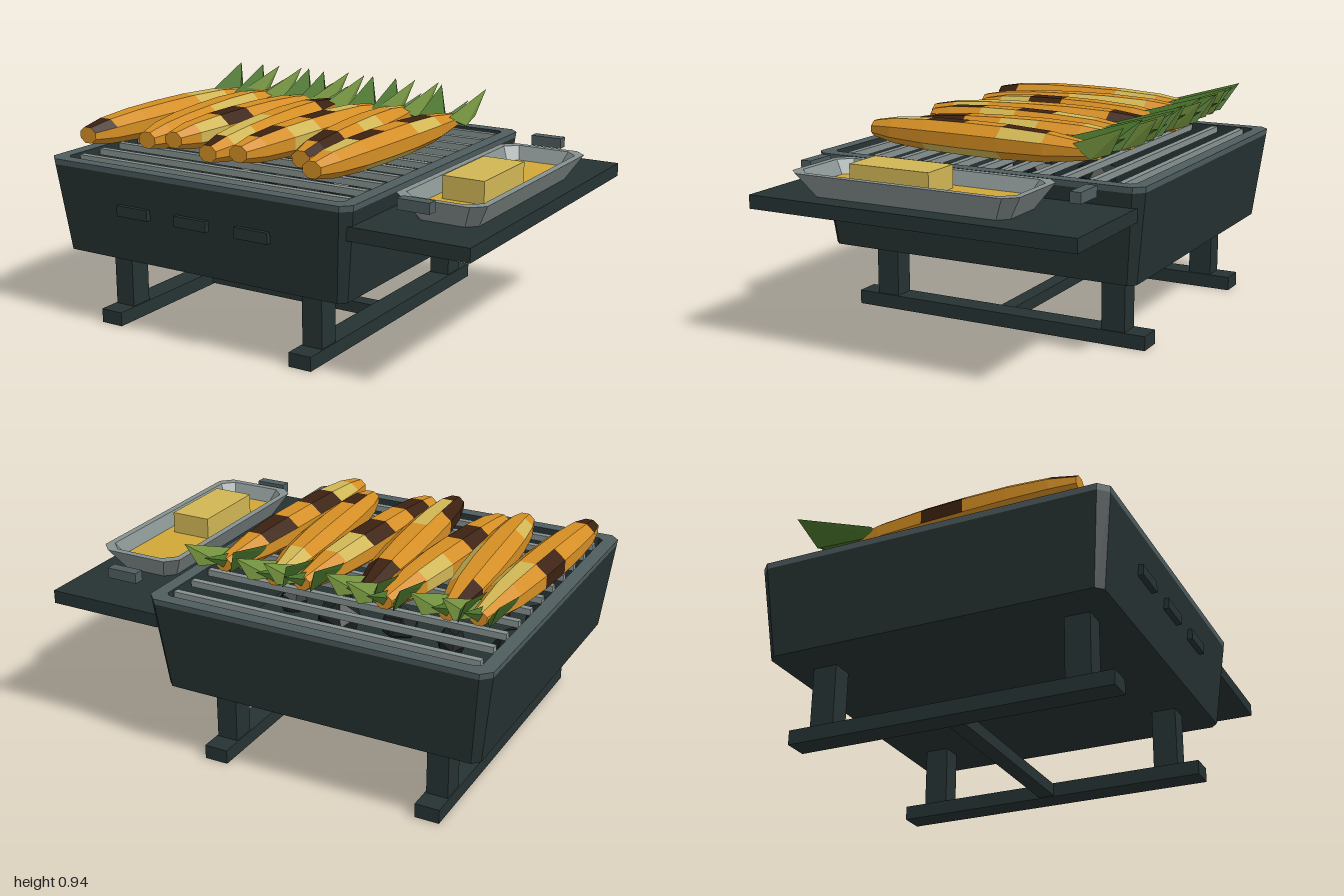
import * as THREE from 'three';
import { ConvexGeometry } from 'three/addons/geometries/ConvexGeometry.js';

const mat = (name, color) => {
  const m = new THREE.MeshStandardMaterial({ color });
  m.name = name;
  return m;
};

// Flat-shaded skin through a list of rings; paint(segment, side) picks the material index.
function loft(rings, paint = () => 0, capStart = true, capEnd = true) {
  const buckets = [];
  const tri = (m, ...pts) => (buckets[m] ??= []).push(...pts.flat());
  const n = rings[0].length;
  for (let s = 0; s < rings.length - 1; s++) {
    const [a, b] = [rings[s], rings[s + 1]];
    for (let k = 0; k < n; k++) {
      const j = (k + 1) % n;
      tri(paint(s, k), a[k], b[k], a[j]);
      tri(paint(s, k), a[j], b[k], b[j]);
    }
  }
  const last = rings[rings.length - 1];
  for (let k = 1; k < n - 1; k++) {
    if (capStart) tri(paint(-1, k), rings[0][0], rings[0][k], rings[0][k + 1]);
    if (capEnd) tri(paint(rings.length - 1, k), last[0], last[k + 1], last[k]);
  }
  const geo = new THREE.BufferGeometry();
  const all = [];
  buckets.forEach((list, m) => {
    geo.addGroup(all.length / 3, list.length / 3, m);
    for (const v of list) all.push(v);
  });
  geo.setAttribute('position', new THREE.Float32BufferAttribute(all, 3));
  geo.computeVertexNormals();
  return geo;
}

// Horizontal rectangle with cut corners
function cutRect(cx, cz, w, d, c, y) {
  const [x, z] = [w / 2, d / 2];
  return [[x, -z + c], [x, z - c], [x - c, z], [-x + c, z], [-x, z - c], [-x, -z + c], [-x + c, -z], [x - c, -z]]
    .map(([px, pz]) => [cx + px, y, cz + pz]);
}

export function createModel() {
  const model = new THREE.Group();
  model.name = 'cornGrill';
  const iron = mat('dark iron', 0x263232);
  const rimGrey = mat('rim grey', 0x4f5d5f);
  const steel = mat('steel', 0x86918f);
  const gold = mat('melted butter', 0xd0a838);
  const pale = mat('pale yellow', 0xd0b655);
  const orange = mat('roasted corn', 0xd48e24);
  const char = mat('char', 0x3c2110);
  const green = mat('husk green', 0x48712a);
  const lightGreen = mat('light husk green', 0x76963f);
  const coal = mat('coal', 0x1a2020);

  const add = (name, geo, material, parent = model) => {
    const m = new THREE.Mesh(geo, material);
    m.name = name;
    parent.add(m);
    return m;
  };
  // Box given by its extents
  const box = (name, material, x0, x1, y0, y1, z0, z1) =>
    add(name, new THREE.BoxGeometry(x1 - x0, y1 - y0, z1 - z0), material)
      .position.set((x0 + x1) / 2, (y0 + y1) / 2, (z0 + z1) / 2);

  // Fire box: outer wall, rim, inner wall and floor
  const gx = -0.247;
  add('fireBox', loft([
    cutRect(gx, 0, 1.41, 1.44, 0.03, 0.32),
    cutRect(gx, 0, 1.5, 1.53, 0.04, 0.705),
    cutRect(gx, 0, 1.505, 1.535, 0.04, 0.73),
    cutRect(gx, 0, 1.385, 1.42, 0.02, 0.73),
    cutRect(gx, 0, 1.33, 1.36, 0.02, 0.4),
  ], (s) => (s === 1 || s === 2 ? 1 : 0)), [iron, rimGrey]);

  // Coals on the floor
  for (let i = 0; i < 14; i++) {
    const c = add('coal', new THREE.IcosahedronGeometry(0.07 + 0.02 * (i % 3), 0), coal);
    c.position.set(-0.8 + (i % 5) * 0.27, 0.44, -0.4 + Math.floor(i / 5) * 0.38 + 0.06 * (i % 2));
    c.rotation.set(i, i * 2, 0);
  }

  // Grate
  for (let i = 0; i < 11; i++) {
    const z = -0.65 + i * 0.1285;
    box('grateBar', steel, -0.92, 0.435, 0.7, 0.728, z - 0.014, z + 0.014);
  }

  // Front vents
  for (const x of [-0.545, -0.245, 0.055]) box('vent', iron, x - 0.08, x + 0.08, 0.525, 0.572, 0.72, 0.768);

  // Legs, skids and cross bar
  for (const x of [-0.738, 0.238]) {
    box('skid', iron, x - 0.053, x + 0.053, 0, 0.062, -0.7, 0.7);
    for (const z of [-0.553, 0.553]) box('leg', iron, x - 0.047, x + 0.047, 0.06, 0.33, z - 0.053, z + 0.053);
  }
  box('crossBar', iron, -0.7, 0.2, 0.005, 0.058, -0.035, 0.035);

  // Side shelf
  box('sideShelf', iron, 0.475, 1, 0.587, 0.645, -0.737, 0.733);

  // Butter tray with its handles and contents
  const [tx, tz] = [0.77, 0.058];
  add('butterTray', loft([
    cutRect(tx, tz, 0.27, 0.9, 0.04, 0.645),
    cutRect(tx, tz, 0.39, 1.035, 0.05, 0.746),
    cutRect(tx, tz, 0.33, 0.975, 0.05, 0.746),
    cutRect(tx, tz, 0.272, 0.9, 0.04, 0.69),
  ], (s) => (s === 3 ? 1 : 0)), [steel, gold]);
  box('trayHandle', rimGrey, 0.64, 0.78, 0.712, 0.757, 0.588, 0.635);
  box('trayHandle', rimGrey, 0.64, 0.78, 0.712, 0.757, -0.642, -0.595);
  box('butterBlock', pale, 0.677, 0.86, 0.69, 0.785, -0.03, 0.338);

  // Corn cobs: front end x, z, back end x, z, then coloured patches
  // [segment, first side, last side, 1 = pale / 2 = char]; sides run 0 = right, 2 = top, 4 = left
  const cobs = [
    [-0.895, 0.62, -0.835, -0.49, [[0, 1, 3, 2], [3, 3, 4, 2], [5, 2, 2, 1], [4, 1, 2, 1]]],
    [-0.62, 0.56, -0.71, -0.5, [[3, 0, 1, 1], [4, 0, 1, 1], [1, 3, 3, 1], [5, 3, 4, 2]]],
    [-0.525, 0.5, -0.45, -0.52, [[2, 1, 3, 2], [4, 3, 4, 1], [1, 0, 1, 1]]],
    [-0.255, 0.62, -0.345, -0.49, [[5, 1, 3, 2], [0, 2, 4, 2], [1, 3, 4, 2], [2, 2, 2, 1], [1, 1, 2, 1]]],
    [-0.145, 0.56, -0.08, -0.51, [[3, 2, 3, 2], [1, 2, 4, 2], [4, 2, 3, 1], [2, 0, 1, 1]]],
    [0.12, 0.5, 0.04, -0.52, [[1, 1, 2, 2], [0, 1, 1, 2], [3, 0, 1, 1], [5, 2, 3, 1]]],
    [0.25, 0.62, 0.3, -0.49, [[4, 2, 3, 2], [2, 2, 3, 2], [1, 2, 3, 1], [2, 7, 7, 1], [3, 7, 7, 1], [4, 1, 1, 1]]],
  ];
  const profile = [[0, 0.5], [0.1, 0.78], [0.26, 0.95], [0.43, 1], [0.6, 0.99], [0.79, 0.86], [1, 0.42]];
  for (const [x0, z0, x1, z1, patches] of cobs) {
    const group = new THREE.Group();
    group.name = 'cornCob';
    model.add(group);
    const rings = profile.map(([t, r]) => Array.from({ length: 8 }, (_, k) => {
      const a = (k - 0.5) * Math.PI / 4;
      return [x0 + (x1 - x0) * t + 0.092 * r * Math.cos(a), 0.81 + 0.0758 * r * Math.sin(a), z0 + (z1 - z0) * t];
    }));
    const paint = (s, k) => patches.find(([seg, a, b]) => seg === s && k >= a && k <= b)?.[3] ?? 0;
    add('kernels', loft(rings, paint), [orange, pale, char], group);

    // Husk leaves flaring up and back, as offsets from the back end of the cob
    const leaf = (name, material, pts) =>
      add(name, new ConvexGeometry(pts.map(([x, y, z]) => new THREE.Vector3(x1 + x, y, z1 + z))), material, group);
    leaf('rightHusk', lightGreen, [[0.03, 0.84, 0.11], [0.02, 0.8, 0.02], [0.07, 0.79, 0.01], [0.07, 0.82, -0.08], [0.09, 0.935, -0.145]]);
    leaf('leftHusk', green, [[-0.07, 0.8, 0.24], [-0.085, 0.84, 0.2], [-0.03, 0.8, 0.02], [-0.07, 0.81, -0.06], [-0.13, 0.935, -0.13]]);
    leaf('backHusk', green, [[-0.03, 0.81, 0.05], [0.03, 0.81, 0.05], [0, 0.845, 0.04], [0, 0.79, 0.01], [0.015, 0.88, -0.12]]);
  }
  return model;
}
